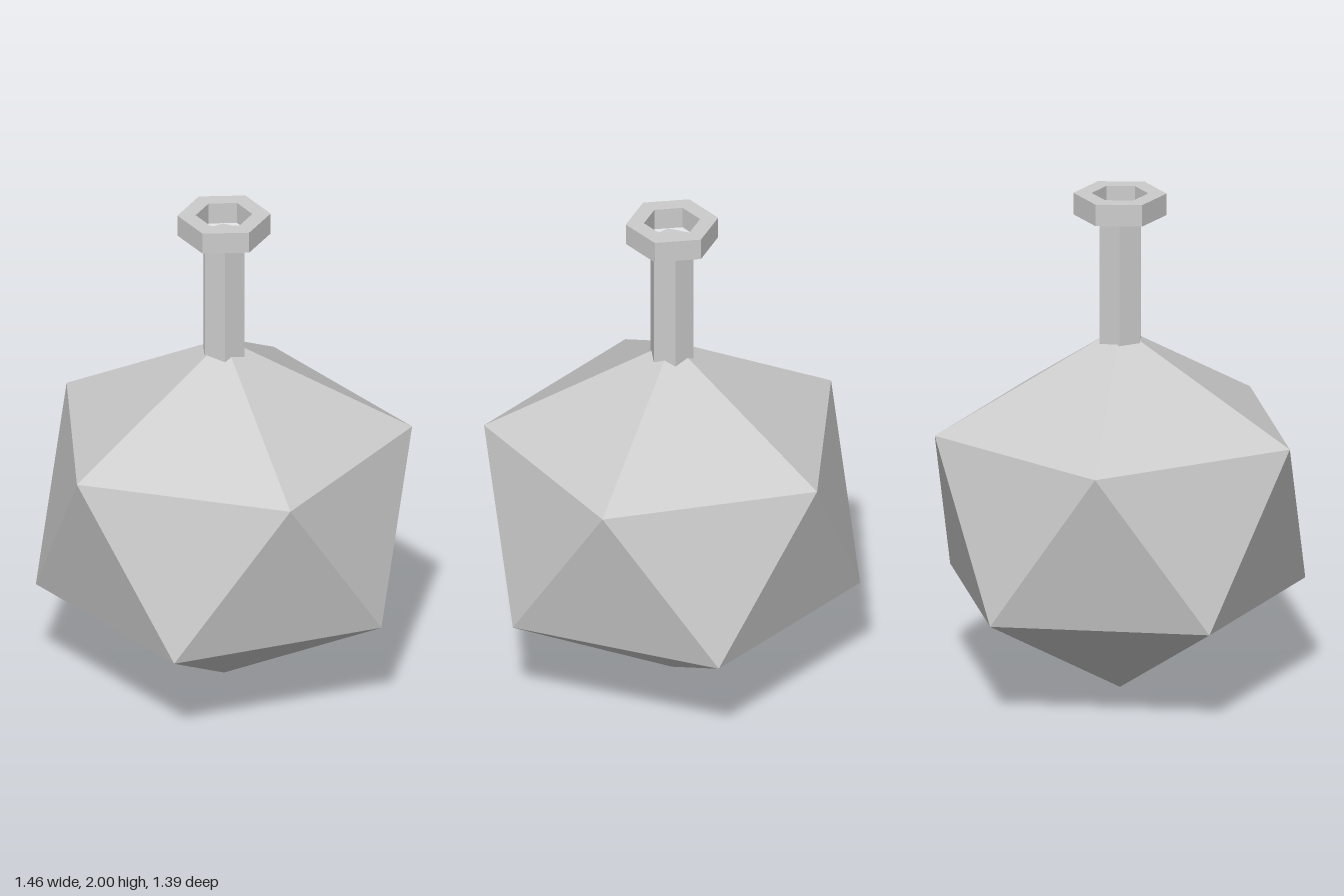
import * as THREE from 'three';

// Point on a horizontal ring, angle measured from +x towards +z
const ringPoint = (r, y, deg) => {
  const a = THREE.MathUtils.degToRad(deg);
  return [r * Math.cos(a), y, r * Math.sin(a)];
};

// Flattened twenty-sided body standing on one corner
function bodyGeometry() {
  const r = 0.73, top = [0, 1.46, 0], bottom = [0, 0, 0];
  const upper = (i) => ringPoint(r, 1.057, i * 72);
  const lower = (i) => ringPoint(r, 0.404, i * 72 + 36);
  const pos = [];
  for (let i = 0; i < 5; i++) {
    pos.push(...top, ...upper(i + 1), ...upper(i));
    pos.push(...upper(i), ...upper(i + 1), ...lower(i));
    pos.push(...lower(i), ...upper(i + 1), ...lower(i + 1));
    pos.push(...bottom, ...lower(i), ...lower(i + 1));
  }
  const g = new THREE.BufferGeometry();
  g.setAttribute('position', new THREE.Float32BufferAttribute(pos, 3));
  g.computeVertexNormals();
  return g;
}

// Corners of a hexagon with one corner on +x
const hexagon = (r) => Array.from({ length: 6 }, (_, i) => {
  const a = (i * Math.PI) / 3;
  return new THREE.Vector2(r * Math.cos(a), r * Math.sin(a));
});

export function createModel() {
  const group = new THREE.Group();
  group.name = 'flask';
  const grey = new THREE.MeshStandardMaterial({ color: 0xcccccc, flatShading: true });
  grey.name = 'light grey';

  const add = (name, geometry) => {
    const mesh = new THREE.Mesh(geometry, grey);
    mesh.name = name;
    group.add(mesh);
    return mesh;
  };

  add('body', bodyGeometry());

  // Six-sided neck, sunk into the body
  const neckBottom = 1.36, neckTop = 1.915;
  const neck = add('neck', new THREE.CylinderGeometry(0.09, 0.09, neckTop - neckBottom, 6));
  neck.position.y = (neckBottom + neckTop) / 2;

  // Six-sided rim with an open six-sided hole
  const shape = new THREE.Shape(hexagon(0.181));
  shape.holes.push(new THREE.Path(hexagon(0.11)));
  const rim = add('rim', new THREE.ExtrudeGeometry(shape, { depth: 0.087, bevelEnabled: false }));
  rim.rotation.x = -Math.PI / 2;
  rim.position.y = 1.913;

  return group;
}
